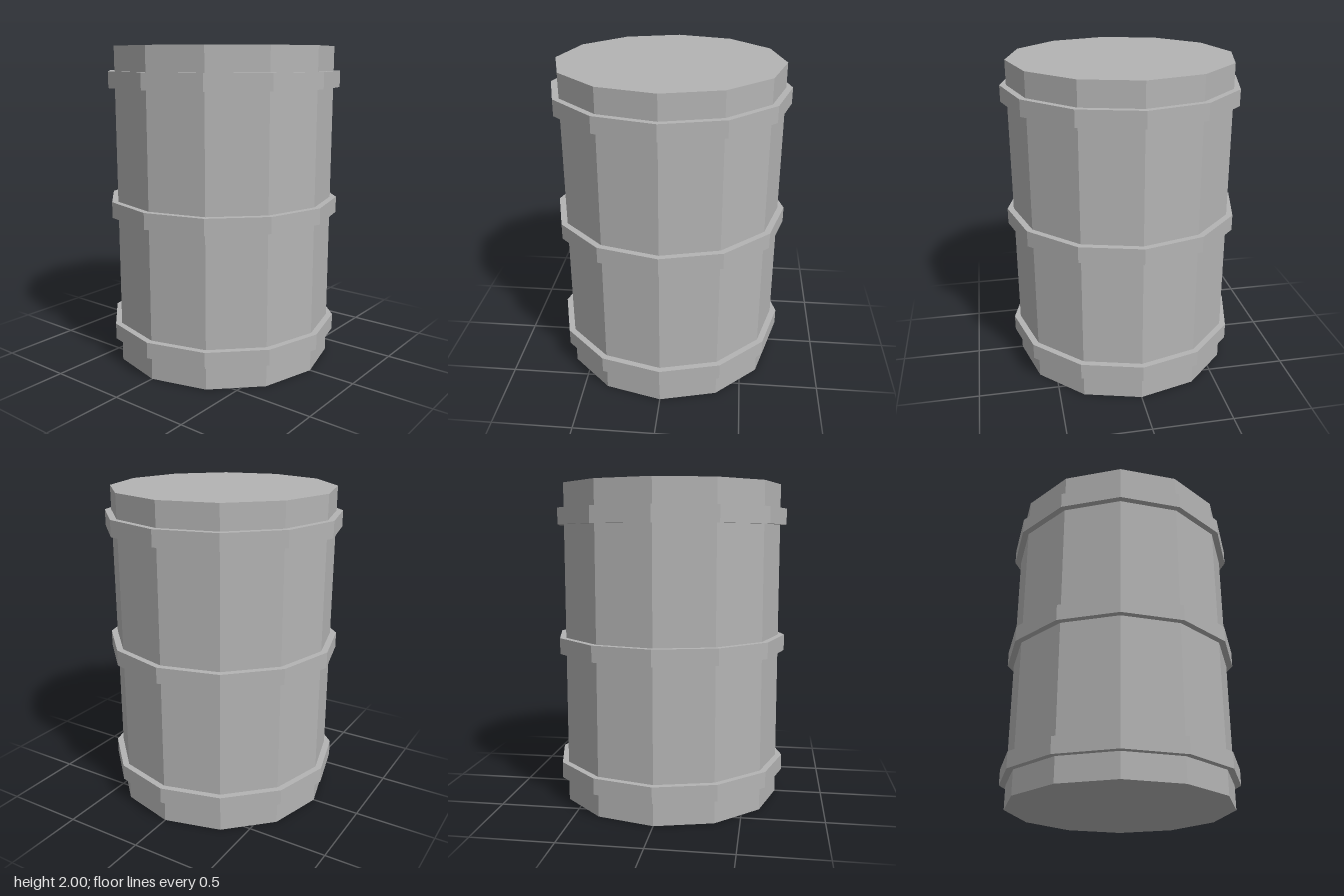
import * as THREE from 'three';

const SIDES = 12;

export function createModel() {
  const model = new THREE.Group();
  model.name = 'barrel';
  const steel = new THREE.MeshStandardMaterial({ color: 0xb4b4b4, flatShading: true });
  steel.name = 'grey steel';

  // Upright twelve-sided drum centred at height y
  const drum = (name, radius, height, y) => {
    const mesh = new THREE.Mesh(new THREE.CylinderGeometry(radius, radius, height, SIDES), steel);
    mesh.name = name;
    mesh.position.y = y;
    model.add(mesh);
  };

  // Body with flat lid and base
  drum('body', 0.7, 2, 1);

  // Three raised hoops
  drum('lowerHoop', 0.74, 0.1, 0.2);
  drum('middleHoop', 0.74, 0.1, 1);
  drum('upperHoop', 0.74, 0.1, 1.8);

  return model;
}
